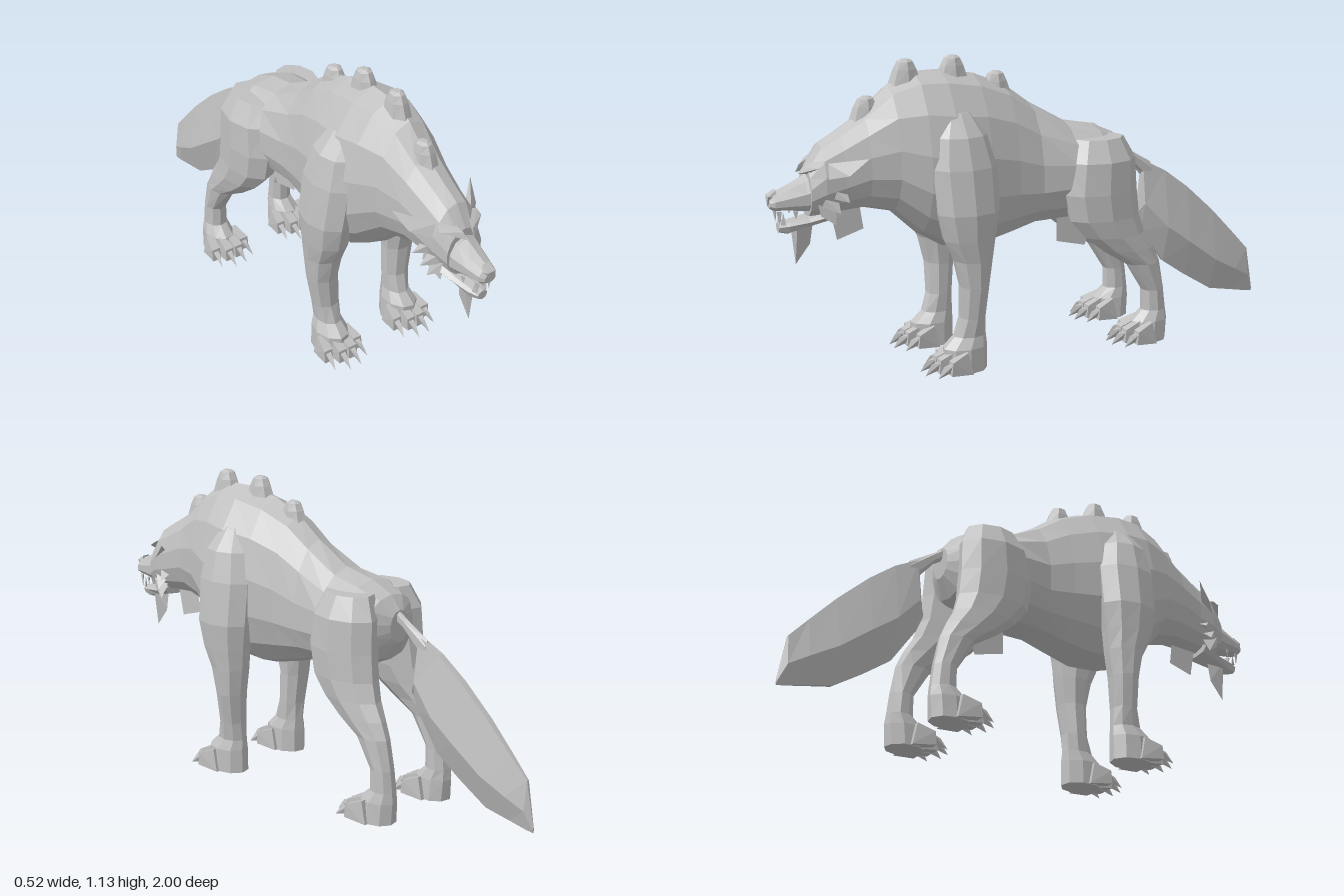
import * as THREE from 'three';
import { ConvexGeometry } from 'three/addons/geometries/ConvexGeometry.js';

const fur = new THREE.MeshStandardMaterial({ color: 0xc0c0c0, flatShading: true, side: THREE.DoubleSide });
fur.name = 'grey fur';

// Skin a list of rings (arrays of [x,y,z]) with closed ends, faces turned outward
function loft(rings) {
  const n = rings[0].length, pos = rings.flat(2), idx = [];
  for (let r = 0; r < rings.length - 1; r++) {
    for (let i = 0; i < n; i++) {
      const a = r * n + i, b = r * n + (i + 1) % n;
      idx.push(a, b, a + n, b, b + n, a + n);
    }
  }
  const last = (rings.length - 1) * n;
  for (let i = 1; i < n - 1; i++) {
    idx.push(0, i + 1, i);
    idx.push(last, last + i, last + i + 1);
  }
  // flip the winding when the enclosed volume is negative
  const v = (i) => new THREE.Vector3(pos[i * 3], pos[i * 3 + 1], pos[i * 3 + 2]);
  let volume = 0;
  for (let i = 0; i < idx.length; i += 3) volume += v(idx[i]).dot(v(idx[i + 1]).cross(v(idx[i + 2])));
  if (volume < 0) idx.reverse();
  const g = new THREE.BufferGeometry();
  g.setAttribute('position', new THREE.Float32BufferAttribute(pos, 3));
  g.setIndex(idx);
  g.computeVertexNormals();
  return g;
}

// Upright section across the spine: z, top, bottom, half width, height of widest point
function spineRing([z, top, bot, w, mid], n = 14) {
  return Array.from({ length: n }, (_, i) => {
    const a = (i / n) * Math.PI * 2, c = Math.cos(a);
    return [w * Math.sin(a), mid + c * (c > 0 ? top - mid : mid - bot), z];
  });
}

// Level section through a leg: y, x, z, x radius, z radius
function legRing([y, x, z, rx, rz], s, n = 9) {
  return Array.from({ length: n }, (_, i) => {
    const a = (i / n) * Math.PI * 2;
    return [s * (x + rx * Math.cos(a)), y, z + rz * Math.sin(a)];
  });
}

const hull = (pts, s = 1) => new ConvexGeometry(pts.map(([x, y, z]) => new THREE.Vector3(s * x, y, z)));

// Flat tuft in the middle plane from [z, y] corners
function tuft(pts) {
  const g = new THREE.ShapeGeometry(new THREE.Shape(pts.map(([z, y]) => new THREE.Vector2(-z, y))));
  return g.rotateY(Math.PI / 2);
}

export function createModel() {
  const model = new THREE.Group();
  model.name = 'beast';
  const add = (name, geometry, parent = model) => {
    const m = new THREE.Mesh(geometry, fur);
    m.name = name;
    parent.add(m);
    return m;
  };

  // Trunk, neck and skull
  add('body', loft([
    [-0.39, 0.74, 0.62, 0.05, 0.68], [-0.35, 0.79, 0.55, 0.14, 0.68], [-0.26, 0.83, 0.51, 0.185, 0.68],
    [-0.14, 0.855, 0.48, 0.165, 0.67], [0, 0.935, 0.475, 0.143, 0.66], [0.1, 1.01, 0.445, 0.155, 0.68],
    [0.22, 1.06, 0.415, 0.18, 0.7], [0.35, 1.085, 0.43, 0.2, 0.7], [0.45, 1.085, 0.49, 0.18, 0.73],
    [0.55, 1.045, 0.585, 0.14, 0.77], [0.65, 0.955, 0.61, 0.112, 0.77], [0.74, 0.9, 0.605, 0.098, 0.74],
    [0.81, 0.86, 0.6, 0.092, 0.72], [0.86, 0.785, 0.6, 0.075, 0.69],
  ].map((r) => spineRing(r))));

  // Muzzle, nose and lower jaw
  add('muzzle', loft([
    [0.8, 0.8, 0.61, 0.08, 0.69], [0.87, 0.75, 0.62, 0.064, 0.67], [0.93, 0.72, 0.63, 0.05, 0.665],
    [0.98, 0.7, 0.635, 0.038, 0.66], [0.995, 0.68, 0.645, 0.024, 0.66],
  ].map((r) => spineRing(r, 10))));
  add('nose', hull([[-0.022, 0.685, 0.97], [0.022, 0.685, 0.97], [-0.018, 0.69, 1], [0.018, 0.69, 1],
    [0, 0.655, 1], [-0.014, 0.71, 0.97], [0.014, 0.71, 0.97]]));
  add('lowerJaw', loft([
    [0.78, 0.63, 0.585, 0.07, 0.61], [0.86, 0.605, 0.565, 0.05, 0.59],
    [0.93, 0.595, 0.545, 0.036, 0.58], [0.965, 0.59, 0.555, 0.02, 0.575],
  ].map((r) => spineRing(r, 8))));
  add('beard', hull([[-0.022, 0.58, 0.9], [0.022, 0.58, 0.9], [0, 0.58, 0.92], [0, 0.59, 0.835],
    [0, 0.5, 0.85], [0, 0.43, 0.905]]));
  add('throatTuft', tuft([[0.78, 0.65], [0.67, 0.67], [0.65, 0.53], [0.75, 0.5]]));
  add('bellyTuft', tuft([[-0.12, 0.5], [-0.12, 0.385], [-0.24, 0.355], [-0.3, 0.52]]));

  // Humps along the spine: z, top
  [[0.63, 1.01], [0.48, 1.13], [0.3, 1.13], [0.13, 1.06]].forEach(([z, top]) => {
    add('spineHump', loft([[top - 0.1, 0, z, 0.045, 0.07], [top - 0.035, 0, z, 0.034, 0.045],
      [top - 0.008, 0, z, 0.026, 0.03], [top, 0, z, 0.012, 0.016]].map((r) => legRing(r, 1, 7))));
  });

  // Tail: thin root, then a hanging leaf of upright sections [z, top, bottom, half width]
  add('tailRoot', loft([[-0.34, 0.77, 0.72, 0.02, 0.75], [-0.42, 0.715, 0.67, 0.016, 0.695],
    [-0.52, 0.655, 0.56, 0.016, 0.61]].map((r) => spineRing(r, 6))));
  add('tail', loft([
    [-0.46, 0.47, 0.44, 0.01], [-0.485, 0.665, 0.385, 0.032], [-0.58, 0.615, 0.25, 0.052], [-0.68, 0.54, 0.18, 0.055],
    [-0.8, 0.43, 0.105, 0.05], [-0.9, 0.325, 0.085, 0.036], [-0.97, 0.25, 0.07, 0.02], [-1, 0.09, 0.065, 0.004],
  ].map(([z, top, bot, w]) => {
    const mid = bot + (top - bot) * 0.4;
    return [[w * 0.25, top, z], [w, mid, z], [w * 0.15, bot, z], [-w * 0.15, bot, z], [-w, mid, z], [-w * 0.25, top, z]];
  })));

  for (const s of [1, -1]) {
    const side = s > 0 ? 'left' : 'right';

    // Ears, brows, cheek fur and fangs
    add(side + 'Ear', hull([[0.075, 0.8, 0.8], [0.085, 0.745, 0.81], [0.145, 0.765, 0.745],
      [0.17, 0.825, 0.68], [0.09, 0.785, 0.75]], s));
    add(side + 'Brow', hull([[0.015, 0.76, 0.89], [0.02, 0.785, 0.875], [0.085, 0.805, 0.815],
      [0.09, 0.79, 0.835], [0.04, 0.82, 0.8], [0.03, 0.76, 0.86]], s));
    [[0.7, 0.77, 0.125, 0.665], [0.67, 0.8, 0.115, 0.625], [0.64, 0.81, 0.09, 0.58]].forEach(([y, z, tipX, tipY]) => {
      add(side + 'CheekFur', hull([[0.07, y + 0.025, z + 0.03], [0.075, y - 0.025, z + 0.02],
        [0.06, y, z - 0.04], [tipX, tipY, z - 0.03]], s));
    });
    [[0.025, 0.635, 0.965, -0.05], [0.022, 0.585, 0.95, 0.045], [0.04, 0.635, 0.91, -0.03]].forEach(([x, y, z, h]) => {
      add(side + 'Fang', hull([[x - 0.007, y, z], [x + 0.007, y, z - 0.008], [x, y, z + 0.01], [x, y + h, z]], s));
    });

    // Legs, shoulder or haunch down to the paw
    const legs = {
      FrontLeg: [[0.95, 0.12, 0.33, 0.03, 0.05], [0.87, 0.14, 0.33, 0.07, 0.1], [0.76, 0.158, 0.325, 0.082, 0.125],
        [0.6, 0.178, 0.32, 0.082, 0.12], [0.5, 0.175, 0.315, 0.076, 0.1], [0.42, 0.172, 0.3, 0.07, 0.075],
        [0.32, 0.172, 0.295, 0.062, 0.056], [0.2, 0.162, 0.3, 0.052, 0.05], [0.13, 0.158, 0.31, 0.046, 0.062],
        [0.09, 0.16, 0.33, 0.06, 0.085], [0, 0.16, 0.33, 0.062, 0.085]],
      HindLeg: [[0.8, 0.1, -0.24, 0.07, 0.1], [0.72, 0.12, -0.24, 0.09, 0.14], [0.6, 0.128, -0.235, 0.086, 0.15],
        [0.5, 0.132, -0.25, 0.08, 0.145], [0.43, 0.14, -0.29, 0.07, 0.125], [0.37, 0.15, -0.345, 0.056, 0.105],
        [0.31, 0.155, -0.405, 0.046, 0.07], [0.2, 0.155, -0.45, 0.042, 0.045], [0.12, 0.155, -0.455, 0.044, 0.05],
        [0.08, 0.157, -0.435, 0.055, 0.075], [0, 0.157, -0.43, 0.06, 0.075]],
    };
    for (const [name, rings] of Object.entries(legs)) {
      const leg = new THREE.Group();
      leg.name = side + name;
      model.add(leg);
      add('limb', loft(rings.map((r) => legRing(r, s))), leg);
      // Four knuckled toes, each with a claw
      const [, px, pz] = rings[rings.length - 1];
      [-1.5, -0.5, 0.5, 1.5].forEach((k) => {
        const x = px + k * 0.036, z = pz + (Math.abs(k) > 1 ? 0.045 : 0.075), out = k * 0.008;
        add('toe', hull([[x - 0.018, 0, z - 0.05], [x + 0.018, 0, z - 0.05], [x - 0.015, 0.085, z - 0.03],
          [x + 0.015, 0.085, z - 0.03], [x + out - 0.018, 0.06, z + 0.035], [x + out + 0.018, 0.06, z + 0.035],
          [x + out - 0.018, 0.01, z + 0.04], [x + out + 0.018, 0.01, z + 0.04]], s), leg);
        add('claw', hull([[x + out - 0.012, 0.05, z + 0.03], [x + out + 0.012, 0.05, z + 0.03],
          [x + out, 0.02, z + 0.03], [x + out, 0.045, z + 0.065], [x + out * 1.6, 0.005, z + 0.09]], s), leg);
      });
    }
  }
  return model;
}
